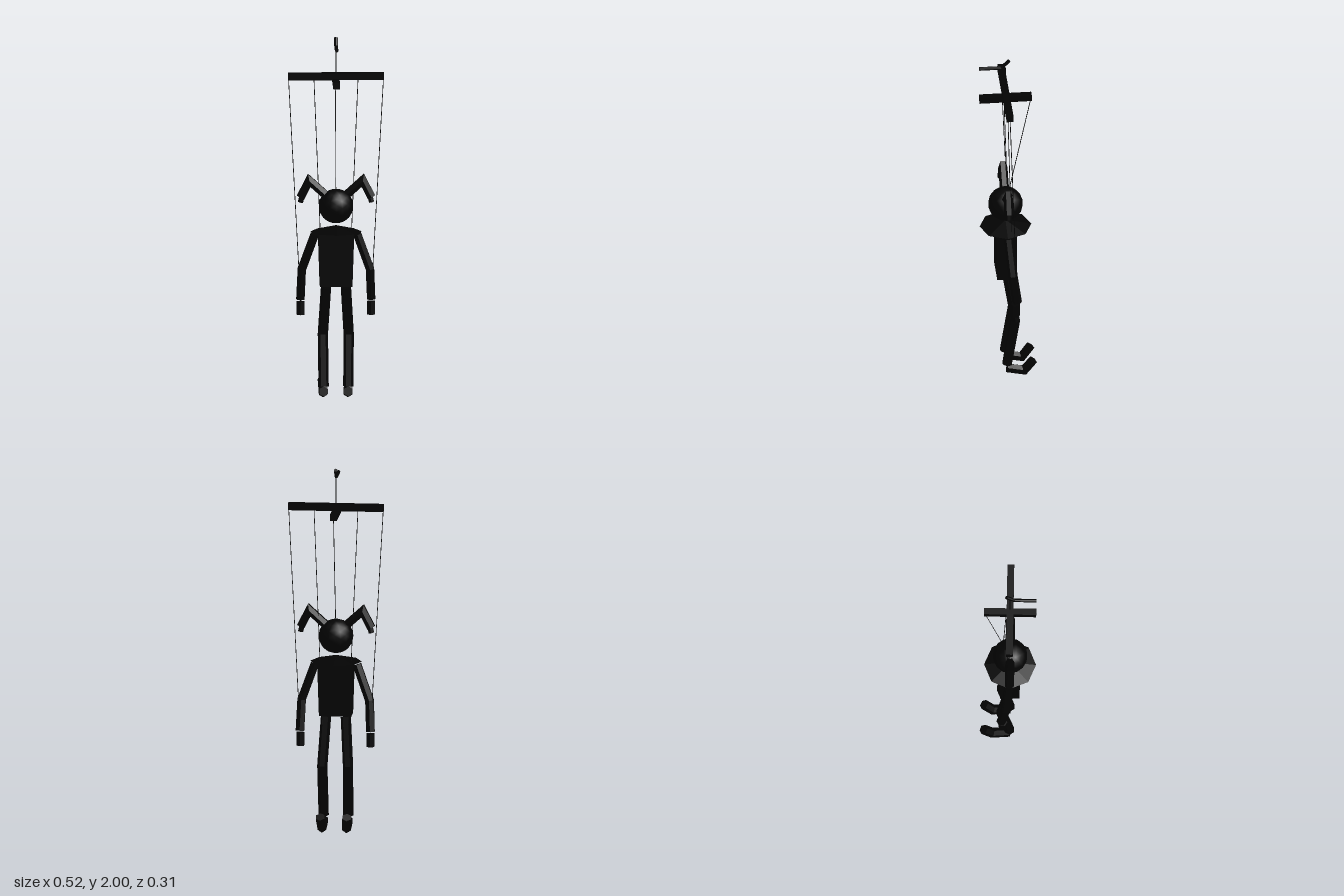
import * as THREE from 'three';

const black = new THREE.MeshStandardMaterial({ color: 0x030303 });
black.name = 'matte black';
const V = (x, y, z) => new THREE.Vector3(x, y, z);

// Mitred prism swept along a bent path; side is the normal of the bend plane
function limb(points, side, r, sides = 6, turn = 0) {
  const n = points.length, rings = [];
  points.forEach((p, i) => {
    const a = points[i].clone().sub(points[Math.max(i - 1, 0)]).normalize();
    const b = points[Math.min(i + 1, n - 1)].clone().sub(p).normalize();
    const t = a.clone().add(b).normalize();
    const s = side.clone().addScaledVector(t, -side.dot(t)).normalize();
    const stretch = i > 0 && i < n - 1 ? 1 / a.dot(t) : 1;
    const up = t.clone().cross(s);
    const ring = [];
    for (let j = 0; j < sides; j++) {
      const w = turn + j / sides * Math.PI * 2;
      ring.push(p.clone().addScaledVector(s, r * Math.cos(w)).addScaledVector(up, r * stretch * Math.sin(w)));
    }
    rings.push(ring);
  });
  const tris = [];
  for (let j = 0; j < sides; j++) {
    const k = (j + 1) % sides;
    for (let i = 0; i < n - 1; i++) {
      const a = rings[i][j], b = rings[i][k], c = rings[i + 1][k], d = rings[i + 1][j];
      tris.push(a, b, c, a, c, d);
    }
    tris.push(points[0], rings[0][k], rings[0][j], points[n - 1], rings[n - 1][j], rings[n - 1][k]);
  }
  const g = new THREE.BufferGeometry().setFromPoints(tris);
  g.computeVertexNormals();
  return g;
}

export function createModel() {
  const model = new THREE.Group();
  model.name = 'marionette';
  const add = (name, geometry, x = 0, y = 0, z = 0) => {
    const m = new THREE.Mesh(geometry, black);
    m.name = name;
    m.position.set(x, y, z);
    model.add(m);
    return m;
  };
  const X = V(1, 0, 0), Z = V(0, 0, 1);
  const string = (name, a, b) => add(name, limb([a, b], V(1, 0, 0.3), 0.002, 4));

  // Control cross, hook and its string
  add('crossBar', new THREE.BoxGeometry(0.522, 0.038, 0.037), 0, 1.785, 0.01);
  add('lengthBar', new THREE.BoxGeometry(0.036, 0.037, 0.284), 0, 1.755, 0.01);
  add('hook', limb([V(0, 1.95, 0.153), V(0, 1.95, 0.033), V(0, 1.993, -0.01)], X, 0.01, 8));
  string('hookString', V(0, 1.8, 0.01), V(0, 1.95, 0.01));
  string('headString', V(0, 1.74, -0.128), V(0, 1.15, -0.008));

  // Head and pointed collar
  add('head', new THREE.IcosahedronGeometry(0.095, 2), 0, 1.071, 0.01);
  add('collar', new THREE.ConeGeometry(0.141, 0.035, 8).toNonIndexed(), 0, 0.948, 0.01)
    .geometry.computeVertexNormals();

  // Torso, narrowing slightly to the waist
  const torso = new THREE.BoxGeometry(0.196, 0.3, 0.106);
  const pos = torso.attributes.position;
  for (let i = 0; i < pos.count; i++) if (pos.getY(i) < 0) pos.setX(i, pos.getX(i) * 0.9);
  torso.computeVertexNormals();
  add('torso', torso, 0, 0.785, 0.01);

  for (const [label, s] of [['left', 1], ['right', -1]]) {
    // Drooping ear with a small tip
    add(label + 'Ear', limb([V(s * 0.06, 1.135, 0.01), V(s * 0.145, 1.212, 0.01), V(s * 0.192, 1.12, 0.01)], Z, 0.025, 6));
    add(label + 'EarTip', limb([V(s * 0.185, 1.125, 0.01), V(s * 0.193, 1.092, 0.01)], Z, 0.016, 6));

    // Arm and hand
    add(label + 'Arm', limb([V(s * 0.115, 0.915, 0.005), V(s * 0.185, 0.72, -0.012), V(s * 0.192, 0.552, -0.035)], Z, 0.026, 6));
    add(label + 'Hand', limb([V(s * 0.191, 0.54, -0.026), V(s * 0.191, 0.468, -0.026)], Z, 0.024, 6));

    // Leg and turned-up foot
    add(label + 'Leg', limb([V(s * 0.054, 0.624, 0.005), V(s * 0.07, 0.36, -0.037), V(s * 0.067, 0.078, 0.008)], X, 0.028, 6));
    add(label + 'Foot', limb([V(s * 0.067, 0.05, 0.008), V(s * 0.067, 0.03, -0.085), V(s * 0.072, 0.095, -0.133)], X, 0.027, 6, Math.PI / 6));

    // Strings to elbow and knee
    string(label + 'ArmString', V(s * 0.258, 1.78, 0.01), V(s * 0.2, 0.71, -0.03));
    string(label + 'LegString', V(s * 0.12, 1.78, 0.01), V(s * 0.062, 0.37, -0.03));
  }
  return model;
}
